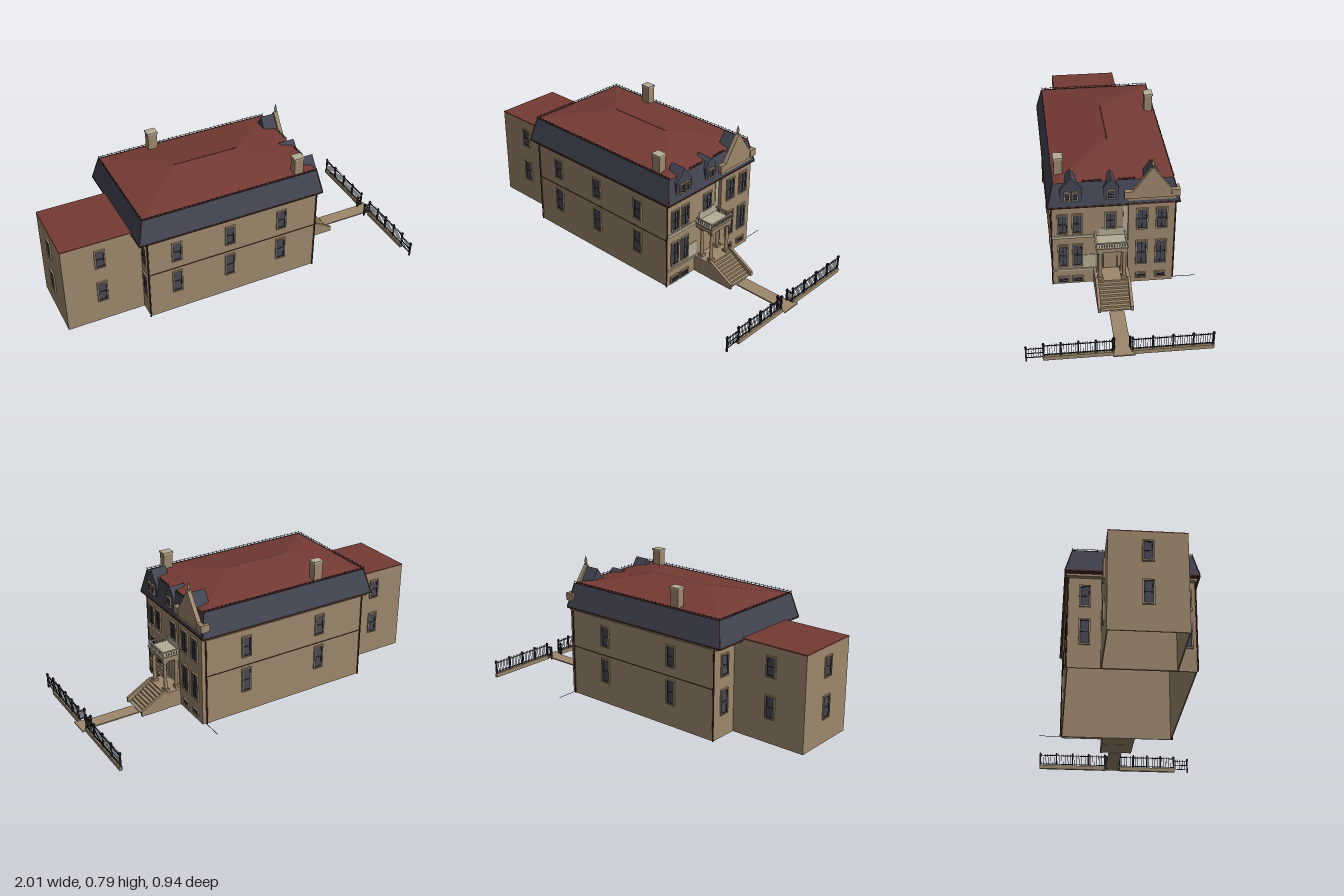
import * as THREE from 'three';

const mat = (name, color) => {
  const m = new THREE.MeshStandardMaterial({ color });
  m.name = name;
  return m;
};

export function createModel() {
  const stone = mat('brownstone', 0x9c876c);
  const cream = mat('cream trim', 0xb4ac96);
  const slate = mat('slate', 0x434552);
  const red = mat('red roof', 0x753a34);
  const glass = mat('window glass', 0x474853);
  const iron = mat('iron', 0x282930);
  const pipe = mat('gutter brown', 0x4c2a23);
  const root = new THREE.Group();

  const add = (name, geo, m, parent = root) => {
    const mesh = new THREE.Mesh(geo, m);
    mesh.name = name;
    parent.add(mesh);
    return mesh;
  };
  // box from min / max limits
  const box = (name, m, x0, x1, y0, y1, z0, z1, parent = root) => {
    const b = add(name, new THREE.BoxGeometry(x1 - x0, y1 - y0, z1 - z0), m, parent);
    b.position.set((x0 + x1) / 2, (y0 + y1) / 2, (z0 + z1) / 2);
    return b;
  };
  const poly = pts => new THREE.Shape(pts.map(p => new THREE.Vector2(...p)));
  const extrude = (shape, depth) => new THREE.ExtrudeGeometry(shape, { depth, bevelEnabled: false });
  // outline given in (z, y), extruded along x
  const slabX = (name, m, pts, x0, x1) => {
    const s = add(name, extrude(poly(pts.map(([z, y]) => [-z, y])), x1 - x0), m);
    s.rotation.y = Math.PI / 2;
    s.position.x = x0;
    return s;
  };
  // four sloping sides between two level rectangles [x0, x1, z0, z1]
  const frustum = (name, m, a, ya, b, yb) => {
    const ring = ([x0, x1, z0, z1], y) => [[x0, y, z1], [x1, y, z1], [x1, y, z0], [x0, y, z0]];
    const lo = ring(a, ya), hi = ring(b, yb), pos = [];
    for (let i = 0; i < 4; i++) {
      const j = (i + 1) % 4;
      for (const p of [lo[i], lo[j], hi[j], lo[i], hi[j], hi[i]]) pos.push(...p);
    }
    const g = new THREE.BufferGeometry();
    g.setAttribute('position', new THREE.Float32BufferAttribute(pos, 3));
    g.computeVertexNormals();
    return add(name, g, m);
  };
  const rod = (name, m, a, b, r) => add(name, new THREE.TubeGeometry(
    new THREE.LineCurve3(new THREE.Vector3(...a), new THREE.Vector3(...b)), 1, r, 6), m);

  // hollow walls, open underneath
  const walls = (name, x0, x1, z0, z1, y0, y1) => {
    const t = 0.006, rect = (a, b, c, d) => [[a, c], [b, c], [b, d], [a, d]];
    const s = poly(rect(x0, x1, -z1, -z0));
    s.holes.push(new THREE.Path(rect(x0 + t, x1 - t, -z1 + t, -z0 - t).map(p => new THREE.Vector2(...p))));
    const w = add(name, extrude(s, y1 - y0), stone);
    w.rotation.x = -Math.PI / 2;
    w.position.y = y0;
  };
  walls('mainWalls', -0.57, 0.418, -0.345, 0.293, 0.015, 0.52);
  walls('rearWingWalls', -1, -0.57, -0.18, 0.2, 0.015, 0.53);
  walls('frontBayWalls', 0.412, 0.44, -0.342, -0.1, 0.015, 0.565);
  box('rearWingRoof', red, -1, -0.575, 0.529, 0.536, -0.18, 0.2);

  // cornice, gutter and roofs
  box('cornice', stone, -0.595, 0.43, 0.508, 0.52, -0.357, 0.305);
  box('gutter', pipe, -0.622, 0.445, 0.52, 0.528, -0.368, 0.317);
  const eave = [-0.62, 0.443, -0.366, 0.315], deck = [-0.588, 0.416, -0.332, 0.284];
  frustum('mansardRoof', slate, eave, 0.528, deck, 0.656);
  frustum('upperHipRoof', red, deck, 0.656, [-0.28, 0.1, -0.026, -0.024], 0.711);
  for (const i of [0, 1]) for (const j of [2, 3]) {
    rod('hipTrim', red, [eave[i], 0.528, eave[j]], [deck[i], 0.657, deck[j]], 0.003);
  }

  // roof cresting
  const cresting = (a, b, alongX, c) => {
    const bar = (u0, u1, y0, y1) => alongX
      ? box('cresting', iron, u0, u1, y0, y1, c - 0.001, c + 0.001)
      : box('cresting', iron, c - 0.001, c + 0.001, y0, y1, u0, u1);
    bar(a, b, 0.656, 0.659);
    bar(a, b, 0.665, 0.667);
    const n = Math.round((b - a) / 0.026);
    for (let i = 0; i <= n; i++) {
      const u = a + (b - a) * i / n;
      bar(u - 0.001, u + 0.001, 0.656, 0.672);
    }
  };
  cresting(deck[0], deck[1], true, deck[3]);
  cresting(deck[0], deck[1], true, deck[2]);
  cresting(deck[2], deck[3], false, deck[0]);
  cresting(0.04, 0.13, false, deck[1]);
  cresting(-0.13, -0.05, false, deck[1]);

  // chimneys
  for (const [x, z, top] of [[0.313, 0.25, 0.757], [-0.29, -0.298, 0.767]]) {
    box('chimney', stone, x - 0.026, x + 0.026, 0.63, top - 0.01, z - 0.022, z + 0.022);
    box('chimneyCap', cream, x - 0.03, x + 0.03, top - 0.01, top, z - 0.025, z + 0.025);
  }

  // sash window facing local +z, turned onto its wall
  const sash = (name, x, y0, y1, z, turn, w = 0.05, sill = cream, split = false) => {
    const g = new THREE.Group(), h = (y1 - y0) / 2, r = w / 2, f = 0.005;
    g.name = name;
    box('glass', glass, -r, r, -h, h, 0, 0.003, g);
    for (const s of [-1, 1]) {
      box('sashSide', iron, s * (r - f / 2) - f / 2, s * (r - f / 2) + f / 2, -h, h, 0, 0.005, g);
      box('sashEnd', iron, -r, r, s * (h - f / 2) - f / 2, s * (h - f / 2) + f / 2, 0, 0.005, g);
      box('surroundSide', stone, s * (r + 0.003) - 0.003, s * (r + 0.003) + 0.003, -h, h, 0, 0.008, g);
    }
    box('meetingRail', iron, -r, r, -0.002, 0.002, 0, 0.006, g);
    if (split) box('mullion', iron, -0.002, 0.002, -h, h, 0, 0.006, g);
    box('lintel', stone, -r - 0.006, r + 0.006, h, h + 0.007, 0, 0.009, g);
    box('sill', sill, -r - 0.006, r + 0.006, -h - 0.006, -h, 0, 0.009, g);
    g.position.set(x, (y0 + y1) / 2, z);
    g.rotation.y = turn;
    root.add(g);
  };
  const toFront = 0, toRight = Math.PI / 2, toBack = Math.PI, toLeft = -Math.PI / 2;
  const pair = (x, z, turn) => {
    sash('upperWindow', x, 0.352, 0.46, z, turn, 0.046, stone);
    sash('lowerWindow', x, 0.145, 0.272, z, turn, 0.046, stone);
  };
  for (const x of [-0.41, -0.103, 0.205]) pair(x, 0.293, toFront);
  for (const x of [0.175, -0.29]) pair(x, -0.345, toBack);
  for (const z of [-0.262, 0.247]) pair(-0.57, z, toLeft);
  for (const [x, z, t] of [[-0.797, 0.2, toFront], [-0.797, -0.18, toBack], [-1, 0.01, toLeft]]) {
    sash('wingUpperWindow', x, 0.378, 0.478, z, t, 0.046, stone);
    sash('wingLowerWindow', x, 0.155, 0.27, z, t, 0.046, stone);
  }
  for (const z of [0.239, 0.163]) {
    sash('facadeUpperWindow', 0.418, 0.35, 0.46, z, toRight, 0.044, cream, true);
    sash('facadeLowerWindow', 0.418, 0.138, 0.268, z, toRight, 0.044, cream, true);
    sash('basementWindow', 0.418, 0.028, 0.058, z, toRight, 0.05);
  }
  sash('landingWindow', 0.418, 0.368, 0.46, -0.01, toRight, 0.05, cream, true);
  for (const z of [-0.172, -0.274]) {
    sash('bayUpperWindow', 0.44, 0.37, 0.488, z, toRight, 0.05, cream, true);
    sash('bayLowerWindow', 0.44, 0.143, 0.283, z, toRight, 0.05, cream, true);
    sash('bayBasementWindow', 0.44, 0.05, 0.072, z, toRight, 0.046, stone);
  }

  // gable wall over the bay, shoulders and finial
  slabX('gable', stone, [[-0.09, 0.56], [-0.35, 0.56], [-0.35, 0.585], [-0.322, 0.6], [-0.305, 0.622],
    [-0.22, 0.742], [-0.135, 0.622], [-0.118, 0.6], [-0.09, 0.585]], 0.425, 0.448);
  slabX('gableRoof', slate, [[-0.32, 0.57], [-0.22, 0.728], [-0.12, 0.57]], 0.345, 0.425);
  for (const [a, b] of [[-0.363, -0.318], [-0.122, -0.077]]) box('gableShoulder', stone, 0.4, 0.452, 0.563, 0.603, a, b);
  const finial = add('finial', new THREE.LatheGeometry([[0.005, 0], [0.005, 0.018], [0.009, 0.022],
    [0.006, 0.035], [0.0005, 0.055]].map(p => new THREE.Vector2(...p)), 8), stone);
  finial.position.set(0.437, 0.732, -0.22);

  // dormers
  for (const [z, r, top, xs] of [[0.194, 0.057, 0.7, [0.02, -0.02]], [-0.01, 0.04, 0.677, [0]]]) {
    slabX('dormer', slate, [[z - r, 0.55], [z + r, 0.55], [z + r, 0.628], [z + r * 0.5, 0.66],
      [z, top], [z - r * 0.5, 0.66], [z - r, 0.628]], 0.35, 0.438);
    for (const d of xs) sash('dormerWindow', 0.438, 0.568, 0.612, z + d, toRight, xs.length > 1 ? 0.022 : 0.032, cream);
  }

  // facade trim and downspouts
  box('beltCourse', cream, 0.416, 0.424, 0.315, 0.331, 0.08, 0.296);
  box('baseCourse', cream, 0.416, 0.424, 0.103, 0.113, 0.08, 0.296);
  box('cornerStrip', cream, 0.416, 0.421, 0.18, 0.508, -0.1, -0.076);
  box('entryPanel', cream, 0.416, 0.421, 0.12, 0.2, 0.068, 0.132);
  box('entryHead', cream, 0.416, 0.421, 0.27, 0.365, -0.076, 0.05);
  for (const z of [0.297, -0.349]) {
    box('sideBelt', pipe, -0.57, 0.418, 0.297, 0.299, z - 0.004, z);
    for (const x of [-0.572, 0.418]) rod('downspout', pipe, [x, 0.015, z], [x, 0.52, z], 0.004);
  }
  rod('groundRod', iron, [0.425, 0.02, -0.35], [0.425, 0.02, -0.47], 0.0015);

  // door
  box('door', stone, 0.416, 0.426, 0.11, 0.27, -0.044, 0.024);
  box('transomGlass', glass, 0.42, 0.429, 0.241, 0.262, -0.04, 0.02);
  for (const z of [-0.047, 0.027]) box('doorJamb', cream, 0.416, 0.432, 0.11, 0.27, z - 0.003, z + 0.003);

  // porch with columns and balustrade
  box('porchFloor', stone, 0.418, 0.535, 0.015, 0.11, -0.105, 0.08);
  box('entablature', stone, 0.418, 0.528, 0.288, 0.314, -0.086, 0.072);
  box('porchCornice', cream, 0.418, 0.535, 0.314, 0.32, -0.092, 0.078);
  for (const z of [0.053, -0.072]) for (const x of [0.447, 0.512]) {
    box('pedestal', stone, x - 0.014, x + 0.014, 0.11, 0.125, z - 0.015, z + 0.015);
    add('column', new THREE.CylinderGeometry(0.009, 0.01, 0.155, 12), stone).position.set(x, 0.2025, z);
    box('capital', stone, x - 0.013, x + 0.013, 0.276, 0.288, z - 0.014, z + 0.014);
  }
  box('frontHandrail', cream, 0.522, 0.53, 0.342, 0.348, -0.088, 0.074);
  for (let i = 0; i <= 12; i++) {
    const z = -0.086 + i * 0.0132;
    box('baluster', cream, 0.524, 0.529, 0.32, 0.342, z - 0.002, z + 0.002);
  }
  for (const z of [-0.085, 0.071]) {
    box('sideHandrail', cream, 0.42, 0.53, 0.342, 0.348, z - 0.004, z + 0.004);
    for (let x = 0.43; x < 0.52; x += 0.015) box('baluster', cream, x, x + 0.004, 0.32, 0.342, z - 0.002, z + 0.002);
  }

  // front steps between sloping cheek walls
  for (let i = 0; i < 8; i++) {
    box('step', stone, 0.53, 0.55 + i * 0.0165, 0.013, 0.1 - i * 0.0115, -0.09, 0.065);
  }
  for (const z of [-0.105, 0.065]) {
    add('cheekWall', extrude(poly([[0.52, 0.013], [0.674, 0.013], [0.674, 0.04], [0.535, 0.12], [0.52, 0.12]]), 0.015), stone).position.z = z;
  }

  // garden path, flaring at the street
  const path = add('path', extrude(poly([[0.67, -0.022], [0.94, -0.022], [1, -0.04], [1, 0.07], [0.94, 0.055], [0.67, 0.055]]), 0.007), stone);
  path.rotation.x = -Math.PI / 2;
  path.position.y = 0.009;

  // street fence
  const fx = 0.972;
  const post = (x, z, y = 0.1) => {
    box('fencePost', iron, x - 0.004, x + 0.004, 0, y, z - 0.004, z + 0.004);
    box('postCap', iron, x - 0.006, x + 0.006, y - 0.012, y - 0.006, z - 0.006, z + 0.006);
  };
  const picket = (x, z, y0, y1) => box('picket', iron, x - 0.001, x + 0.001, y0, y1, z - 0.001, z + 0.001);
  for (const [a, b] of [[0.034, 0.383], [-0.466, -0.054]]) {
    box('fenceKerb', stone, fx - 0.008, fx + 0.008, 0, 0.023, a, b);
    for (const y of [0.03, 0.086]) box('fenceRail', iron, fx - 0.002, fx + 0.002, y, y + 0.004, a, b);
    const n = Math.round((b - a) / 0.0115);
    for (let i = 0; i <= n; i++) picket(fx, a + (b - a) * i / n, 0.023, 0.098);
    for (let i = 0; i <= 4; i++) post(fx, a + 0.004 + (b - a - 0.008) * i / 4, 0.104);
  }
  // side gate at the end of the fence
  post(fx, 0.464, 0.09);
  for (const y of [0.018, 0.045, 0.073]) box('gateRail', iron, fx - 0.002, fx + 0.002, y, y + 0.003, 0.383, 0.464);
  for (let z = 0.392; z < 0.462; z += 0.0115) picket(fx, z, 0.018, 0.084);
  // path gates, standing open
  for (const z of [0.03, -0.05]) {
    post(0.942, z, 0.085);
    for (const y of [0.025, 0.07]) box('gateRail', iron, 0.942, fx, y, y + 0.004, z - 0.002, z + 0.002);
    for (let x = 0.948; x < fx; x += 0.006) picket(x, z, 0.02, 0.084);
  }
  return root;
}
